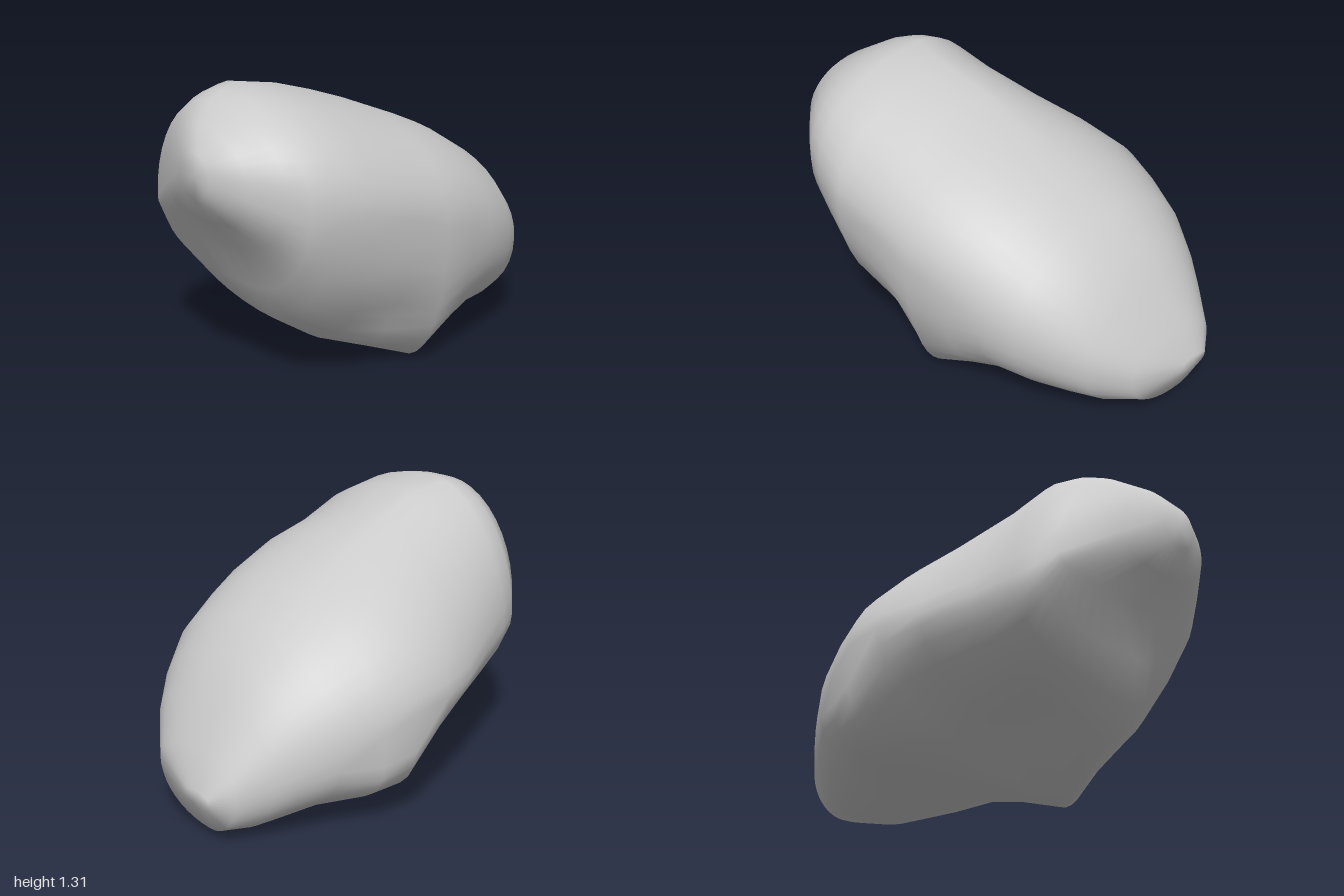
import * as THREE from 'three';

// Cross-sections from front to back:
// z, left (x, y), right (x, y), top (x, y), bottom (x, y)
const SECTIONS = [
  [1.0, 0.1, 1.0, 0.29, 1.0, 0.2, 1.1, 0.2, 0.9],
  [0.92, -0.1, 0.9, 0.44, 0.97, 0.13, 1.19, 0.17, 0.78],
  [0.8, -0.36, 0.75, 0.55, 0.93, 0.05, 1.26, 0.12, 0.65],
  [0.72, -0.43, 0.69, 0.61, 0.89, 0.02, 1.29, 0.18, 0.45],
  [0.62, -0.47, 0.66, 0.65, 0.87, 0, 1.31, 0.23, 0.28],
  [0.43, -0.54, 0.62, 0.7, 0.82, 0.03, 1.28, 0.25, 0.15],
  [0.2, -0.64, 0.58, 0.68, 0.75, 0, 1.21, 0.33, 0.07],
  [0, -0.7, 0.57, 0.69, 0.68, 0, 1.14, 0.41, 0],
  [-0.2, -0.7, 0.55, 0.66, 0.62, 0, 1.06, 0.31, 0.06],
  [-0.36, -0.66, 0.48, 0.62, 0.55, 0, 0.99, 0.15, 0.07],
  [-0.55, -0.59, 0.41, 0.56, 0.49, -0.02, 0.88, -0.02, 0.03],
  [-0.7, -0.5, 0.35, 0.46, 0.42, -0.05, 0.745, -0.1, 0.015],
  [-0.8, -0.43, 0.3, 0.37, 0.36, -0.08, 0.61, -0.12, 0.01],
  [-0.93, -0.33, 0.24, 0.2, 0.27, -0.12, 0.41, -0.15, 0.04],
  [-1.0, -0.23, 0.22, -0.07, 0.22, -0.15, 0.25, -0.15, 0.18],
];
const SIDES = 40;

const bump = (d, r) => Math.exp(-((d / r) ** 2));

// Corner fullness of a section quarter: below 1 is boxier, above 1 flatter
function fullness(z, isLeft, isUpper) {
  if (isUpper) return isLeft ? 0.95 + 0.3 * bump(z - 0.2, 0.5) : 0.92 + 0.12 * bump(z - 0.3, 0.22);
  const brow = 0.25 * bump(z - 0.8, 0.12);
  return isLeft
    ? 1 + 0.25 * bump(z - 0.2, 0.3) - 0.6 * bump(z + 0.27, 0.2) - brow
    : 0.95 + 0.2 * bump(z - 0.6, 0.2) - brow;
}

// Point on a section made of four joined superellipse quarters
function sectionPoint([z, xl, yl, xr, yr, xt, yt, xb, yb], angle) {
  const c = Math.cos(angle), s = Math.sin(angle);
  const [sx, sy] = c >= 0 ? [xr, yr] : [xl, yl];
  const [mx, my] = s >= 0 ? [xt, yt] : [xb, yb];
  const e = fullness(z, c < 0, s >= 0);
  let x = mx + (sx - mx) * Math.abs(c) ** e;
  let y = sy + (my - sy) * Math.abs(s) ** e;
  // hollow under the belly and a dent in the lower right flank
  y += 0.11 * bump(x + 0.04, 0.22) * bump(z - 0.2, 0.3) * bump(y, 0.35);
  x -= 0.05 * bump(x - 0.6, 0.2) * bump(y - 0.25, 0.15) * bump(z - 0.25, 0.15);
  return [x, y, z];
}

function boulderGeometry() {
  const pos = [], index = [], n = SECTIONS.length;
  for (const section of SECTIONS) {
    for (let j = 0; j < SIDES; j++) pos.push(...sectionPoint(section, (j / SIDES) * Math.PI * 2));
  }
  for (let i = 0; i < n - 1; i++) {
    for (let j = 0; j < SIDES; j++) {
      const k = (j + 1) % SIDES;
      const a = i * SIDES + j, b = a + SIDES, c = (i + 1) * SIDES + k, d = i * SIDES + k;
      index.push(a, b, c, a, c, d);
    }
  }
  // end caps
  for (const i of [0, n - 1]) {
    const [z, xl, yl, xr, yr] = SECTIONS[i];
    const centre = pos.length / 3;
    pos.push((xl + xr) / 2, (yl + yr) / 2, z);
    for (let j = 0; j < SIDES; j++) {
      const a = i * SIDES + j, b = i * SIDES + ((j + 1) % SIDES);
      if (i === 0) index.push(centre, a, b);
      else index.push(centre, b, a);
    }
  }
  const geometry = new THREE.BufferGeometry();
  geometry.setAttribute('position', new THREE.Float32BufferAttribute(pos, 3));
  geometry.setIndex(index);
  geometry.computeVertexNormals();
  return geometry;
}

export function createModel() {
  const group = new THREE.Group();
  group.name = 'rock';
  const boulder = new THREE.Mesh(
    boulderGeometry(),
    new THREE.MeshStandardMaterial({ color: 0xcccccc })
  );
  boulder.name = 'boulder';
  group.add(boulder);
  return group;
}
